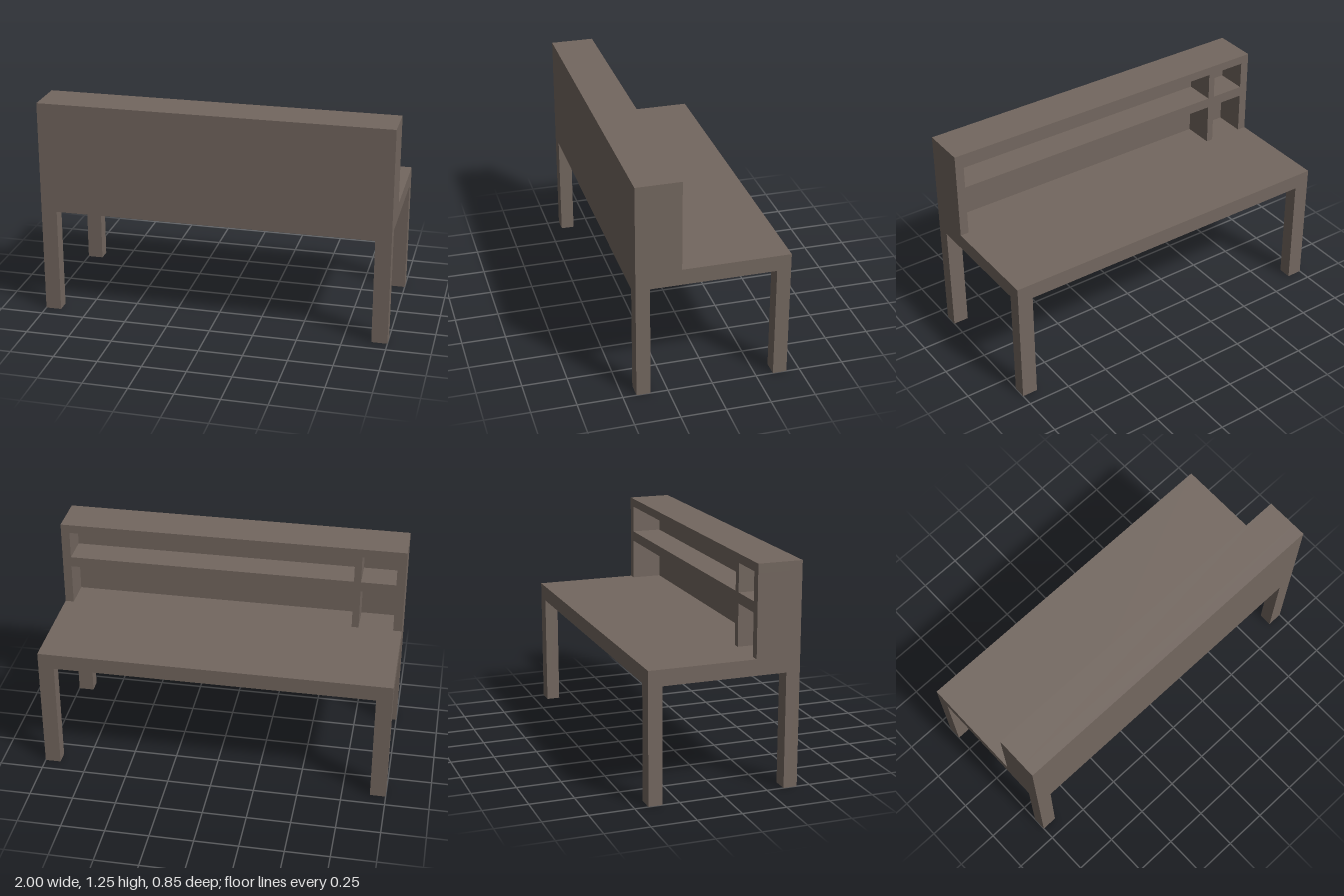
import * as THREE from 'three';

export function createModel() {
  const model = new THREE.Group();
  model.name = 'receptionDesk';
  const material = new THREE.MeshStandardMaterial({ color: 0x73675f });

  // Box given by its extents along x, y and z
  function addBox(name, [x0, x1], [y0, y1], [z0, z1]) {
    const mesh = new THREE.Mesh(new THREE.BoxGeometry(x1 - x0, y1 - y0, z1 - z0), material);
    mesh.position.set((x0 + x1) / 2, (y0 + y1) / 2, (z0 + z1) / 2);
    mesh.name = name;
    model.add(mesh);
  }

  const depth = 0.425;
  const legW = 0.09, legD = 0.078;
  const underside = 0.65, deskY = 0.74, topY = 1.25;
  const board = 0.05;
  const hutchBack = 0.175, panelInner = 0.35;

  // Work surface
  addBox('desktop', [-1, 1], [underside, deskY], [-depth, depth]);

  // Four legs and the two hutch sides, mirrored
  for (const s of [-1, 1]) {
    const end = (w) => (s > 0 ? [1 - w, 1] : [-1, -1 + w]);
    addBox('frontLeg', end(legW), [0, underside], [depth - legD, depth]);
    addBox('backLeg', end(legW), [0, underside], [-depth, -depth + legD]);
    addBox('hutchSide', end(board), [deskY, topY - board], [hutchBack, panelInner]);
  }

  // Front panel: lower lip between the legs, upper part across the full width
  addBox('frontPanelLip', [-1 + legW, 1 - legW], [0.61, underside], [panelInner, depth]);
  addBox('frontPanel', [-1, 1], [deskY, topY], [panelInner, depth]);

  // Hutch: top board, long shelf and a divider split by the shelf
  const inner = [-1 + board, 1 - board];
  const hutchZ = [hutchBack, panelInner];
  addBox('hutchTop', [-1, 1], [topY - board, topY], hutchZ);
  addBox('shelf', inner, [0.98, 1.04], hutchZ);
  addBox('lowerDivider', [-0.75, -0.71], [deskY, 0.98], hutchZ);
  addBox('upperDivider', [-0.75, -0.71], [1.04, topY - board], hutchZ);

  return model;
}
